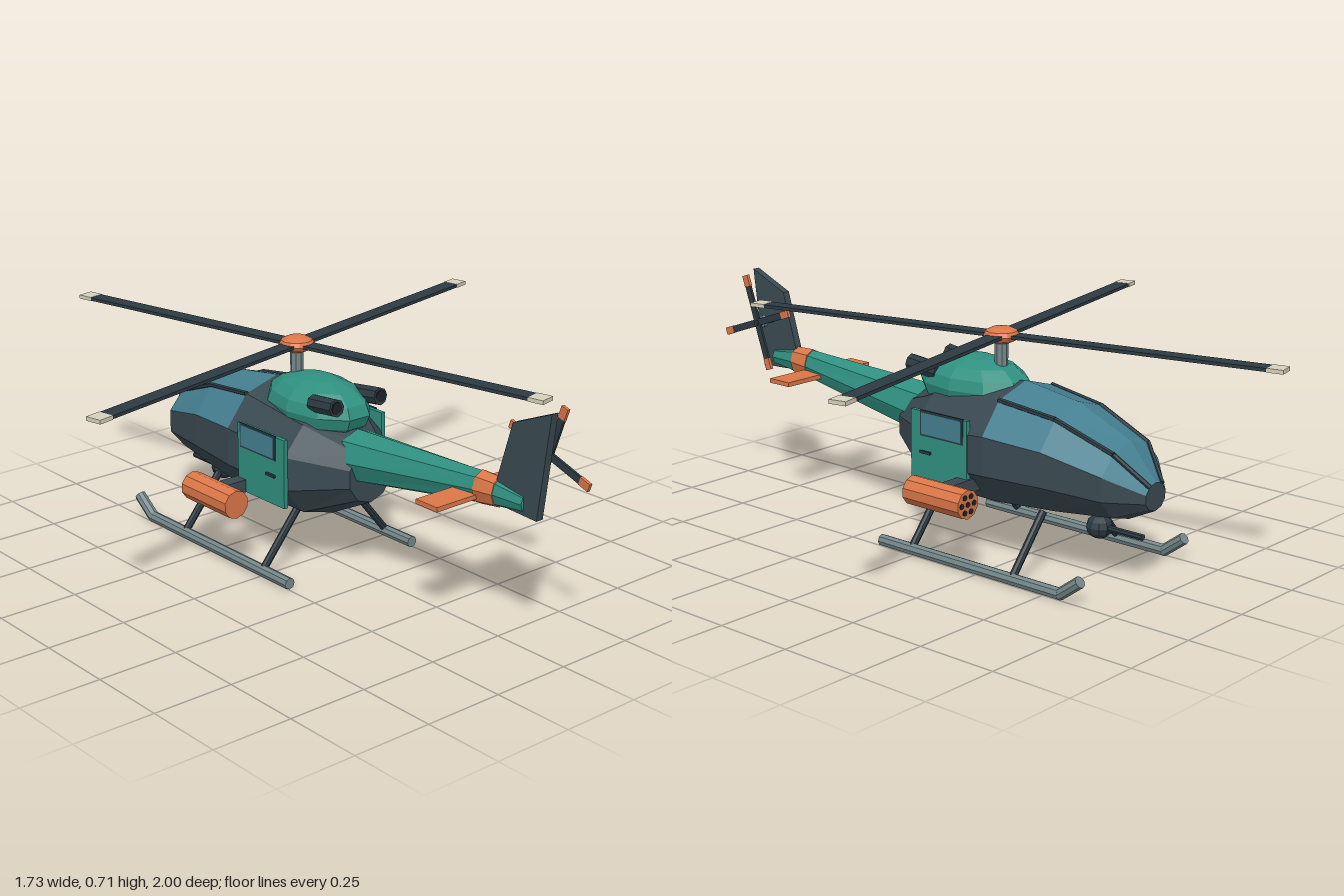
import * as THREE from 'three';

const mat = (color) => new THREE.MeshStandardMaterial({ color, flatShading: true, side: THREE.DoubleSide });

// Faceted loft through elliptical rings [z, centreY, radiusX, radiusY], ordered from +z to -z
function loft(rings, sides, facets, caps) {
  const pos = [];
  const pt = ([z, cy, rx, ry], i) => {
    const a = (i / sides) * Math.PI * 2;
    return [Math.sin(a) * rx, cy + Math.cos(a) * ry, z];
  };
  for (let k = 0; k < rings.length - 1; k++) {
    for (const i of facets) {
      const a = pt(rings[k], i), b = pt(rings[k], i + 1);
      const c = pt(rings[k + 1], i), d = pt(rings[k + 1], i + 1);
      pos.push(...a, ...b, ...c, ...b, ...d, ...c);
    }
  }
  const addCap = (r, first) => {
    for (let i = 0; i < sides; i++) {
      pos.push(0, r[1], r[0], ...pt(r, first ? i + 1 : i), ...pt(r, first ? i : i + 1));
    }
  };
  if (caps.includes('back')) addCap(rings[0], true);
  if (caps.includes('front')) addCap(rings[rings.length - 1], false);
  const g = new THREE.BufferGeometry();
  g.setAttribute('position', new THREE.Float32BufferAttribute(pos, 3));
  g.computeVertexNormals();
  return g;
}

export function createModel() {
  const model = new THREE.Group();
  const teal = mat(0x2f9080), slate = mat(0x3a4a52), dark = mat(0x2c3a42), blue = mat(0x447f90);
  const orange = mat(0xdb7748), cream = mat(0xd6d0bc), steel = mat(0x75878a), black = mat(0x1b2328);

  const add = (name, geo, material, x = 0, y = 0, z = 0, parent = model) => {
    const m = new THREE.Mesh(geo, material);
    m.name = name;
    m.position.set(x, y, z);
    parent.add(m);
    return m;
  };
  const box = (w, h, d) => new THREE.BoxGeometry(w, h, d);
  // Cylinder between two points
  const rod = (name, a, b, r, material, sides = 8, r2 = r) => {
    const p = new THREE.Vector3(...a), q = new THREE.Vector3(...b);
    const m = add(name, new THREE.CylinderGeometry(r2, r, p.distanceTo(q), sides), material);
    m.position.copy(p).lerp(q, 0.5);
    m.quaternion.setFromUnitVectors(new THREE.Vector3(0, 1, 0), q.sub(p).normalize());
    return m;
  };
  const all = (n) => Array.from({ length: n }, (_, i) => i);

  // Fuselage: ten-sided hull with a glazed upper front
  const hull = [
    [0.21, 0.33, 0.085, 0.09],
    [0.04, 0.325, 0.2, 0.17],
    [-0.225, 0.34, 0.205, 0.19],
    [-0.42, 0.333, 0.178, 0.168],
    [-0.61, 0.305, 0.138, 0.115],
    [-0.7, 0.275, 0.048, 0.042],
  ];
  add('rearHull', loft(hull.slice(0, 3), 10, all(10), ['back']), slate);
  add('frontHull', loft(hull.slice(2), 10, [2, 3, 4, 5, 6, 7], ['front']), slate);
  add('canopy', loft(hull.slice(2), 10, [0, 1, 8, 9], []), blue);

  // Engine cowling, mast and hub
  const dome = add('engineCowling', new THREE.SphereGeometry(1, 10, 8), teal, 0, 0.49, -0.03);
  dome.scale.set(0.125, 0.09, 0.2);
  rod('mast', [0, 0.56, -0.13], [0, 0.64, -0.13], 0.02, steel);
  const hub = add('rotorHub', new THREE.SphereGeometry(1, 12, 6), orange, 0, 0.652, -0.13);
  hub.scale.set(0.055, 0.026, 0.055);

  // Main rotor
  const rotor = new THREE.Group();
  rotor.name = 'mainRotor';
  rotor.position.set(0, 0.652, -0.13);
  for (let i = 0; i < 4; i++) {
    const arm = new THREE.Group();
    arm.name = 'mainBlade';
    arm.rotation.y = THREE.MathUtils.degToRad(12.3) + (i * Math.PI) / 2;
    add('blade', box(0.8, 0.01, 0.05), dark, 0.43, 0, 0, arm);
    add('bladeTip', box(0.05, 0.012, 0.052), cream, 0.855, 0, 0, arm);
    rotor.add(arm);
  }
  model.add(rotor);

  // Tail boom with painted band
  const boom = [
    [0.84, 0.43, 0.022, 0.027],
    [0.74, 0.432, 0.032, 0.042],
    [0.67, 0.428, 0.037, 0.048],
    [0.15, 0.372, 0.085, 0.083],
  ];
  add('boomEnd', loft(boom.slice(0, 2), 8, all(8), ['back']), teal);
  add('boomBand', loft(boom.slice(1, 3).map(([z, y, a, b]) => [z, y, a + 0.003, b + 0.003]), 8, all(8), ['back', 'front']), orange);
  add('tailBoom', loft(boom.slice(2), 8, all(8), []), teal);
  add('stabilizer', box(0.36, 0.014, 0.085), orange, 0, 0.408, 0.638);

  // Vertical fin, drawn in (z, y) and turned upright
  const finShape = new THREE.Shape(
    [[0.93, 0.71], [0.79, 0.65], [0.735, 0.465], [0.78, 0.4], [0.89, 0.395]].map(([z, y]) => new THREE.Vector2(-z, y)));
  const fin = add('tailFin', new THREE.ExtrudeGeometry(finShape, { depth: 0.024, bevelEnabled: false }), slate, -0.012);
  fin.rotation.y = Math.PI / 2;

  // Tail rotor
  const tailRotor = new THREE.Group();
  tailRotor.name = 'tailRotor';
  tailRotor.position.set(0.074, 0.553, 0.848);
  for (let i = 0; i < 4; i++) {
    const arm = new THREE.Group();
    arm.name = 'tailBlade';
    arm.rotation.x = THREE.MathUtils.degToRad(19) + (i * Math.PI) / 2;
    add('blade', box(0.008, 0.022, 0.122), dark, 0, 0, 0.061, arm);
    add('bladeTip', box(0.01, 0.024, 0.036), orange, 0, 0, 0.139, arm);
    tailRotor.add(arm);
  }
  model.add(tailRotor);
  rod('tailRotorShaft', [0, 0.553, 0.848], [0.082, 0.553, 0.848], 0.01, dark);
  rod('tailRotorHub', [0.045, 0.553, 0.848], [0.06, 0.553, 0.848], 0.02, steel);

  // Chin turret and gun
  add('turret', new THREE.SphereGeometry(0.04, 10, 6), dark, 0, 0.145, -0.505).scale.y = 0.9;
  rod('gunBarrel', [0, 0.145, -0.52], [0, 0.145, -0.66], 0.01, dark);

  for (const s of [-1, 1]) {
    // Canopy ribs along the upper hull edges
    for (let k = 2; k < 5; k++) {
      const edge = ([z, cy, rx, ry]) => [s * Math.sin(Math.PI / 5) * rx, cy + Math.cos(Math.PI / 5) * ry, z];
      rod('canopyRib', edge(hull[k]), edge(hull[k + 1]), 0.008, dark, 6);
    }

    // Door, window and handle
    add('door', box(0.014, 0.215, 0.22), teal, s * 0.192, 0.328, -0.06);
    add('windowFrame', box(0.004, 0.078, 0.168), dark, s * 0.199, 0.4, -0.073);
    add('doorWindow', box(0.006, 0.066, 0.156), blue, s * 0.2, 0.4, -0.073);
    add('doorHandle', box(0.008, 0.008, 0.04), dark, s * 0.202, 0.312, -0.01);

    // Exhaust
    rod('exhaust', [s * 0.08, 0.525, 0.045], [s * 0.085, 0.538, 0.155], 0.027, dark, 8);
    rod('exhaustOpening', [s * 0.085, 0.538, 0.15], [s * 0.085, 0.538, 0.157], 0.02, black, 8);

    // Stub wing and rocket pod
    add('stubWing', box(0.16, 0.04, 0.045), slate, s * 0.19, 0.24, -0.155);
    rod('rocketPod', [s * 0.3, 0.23, -0.05], [s * 0.3, 0.23, -0.265], 0.044, orange, 10);
    for (let i = 0; i < 7; i++) {
      const r = i ? 0.026 : 0, a = (i * Math.PI) / 3;
      const x = s * 0.3 + r * Math.cos(a), y = 0.23 + r * Math.sin(a);
      rod('podTube', [x, y, -0.26], [x, y, -0.267], 0.009, black, 8);
    }

    // Landing skid with upturned toe and two struts
    const x = s * 0.245;
    rod('skid', [x, 0.02, 0.13], [x, 0.02, -0.56], 0.018, steel);
    rod('skidToe', [x, 0.02, -0.56], [x, 0.072, -0.63], 0.018, steel);
    add('skidJoint', new THREE.SphereGeometry(0.018, 8, 6), steel, x, 0.02, -0.56);
    for (const z of [0.005, -0.385]) {
      rod('skidStrut', [s * 0.11, 0.19, z], [x, 0.025, z], 0.012, dark);
    }
  }
  return model;
}
